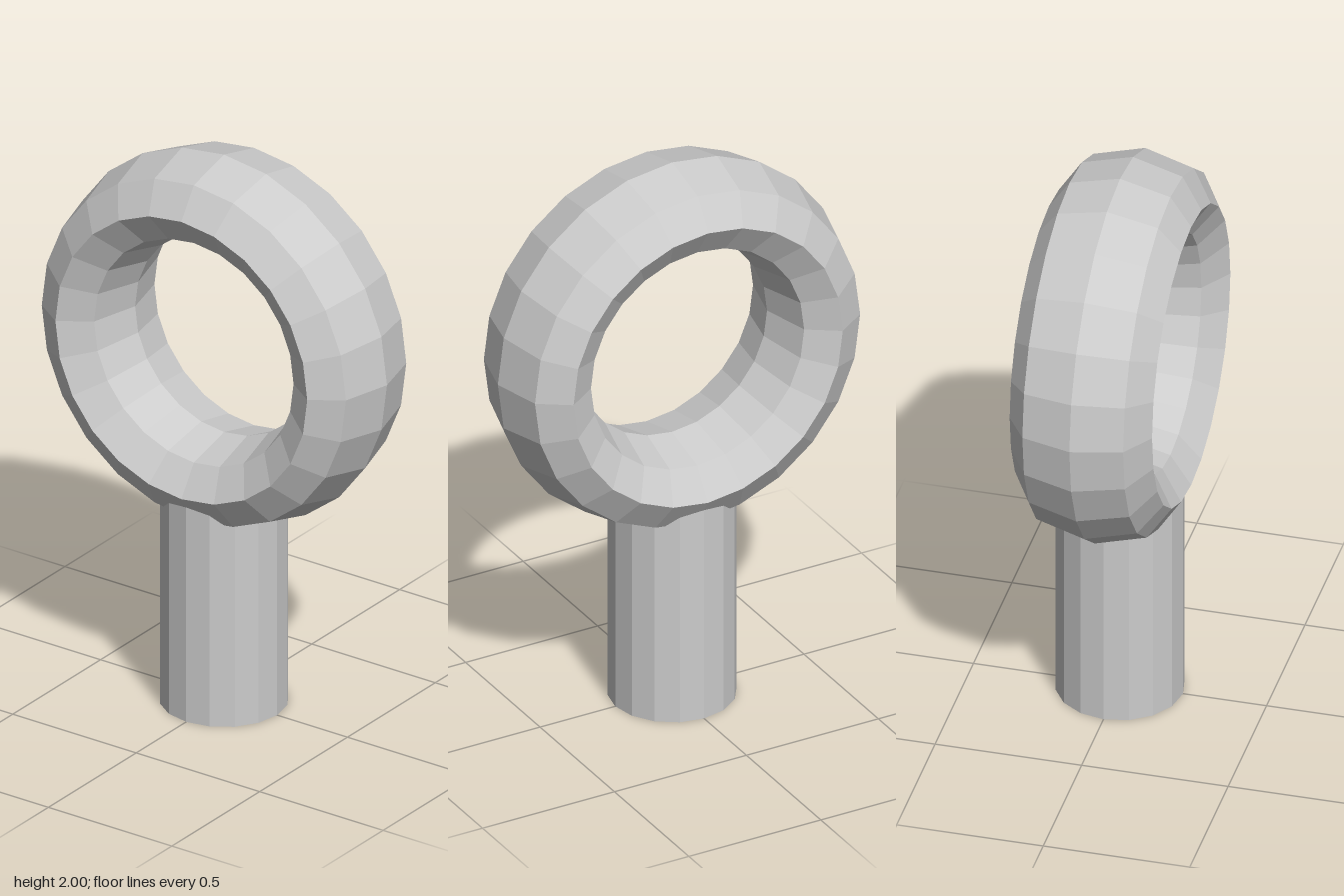
import * as THREE from 'three';

export function createModel() {
  const group = new THREE.Group();
  const material = new THREE.MeshStandardMaterial({ color: 0xcccccc, flatShading: true });

  const addPart = (name, geometry, y) => {
    const mesh = new THREE.Mesh(geometry, material);
    mesh.name = name;
    mesh.position.y = y;
    group.add(mesh);
  };

  // Eye ring: octagonal section stretched front to back
  const ring = new THREE.TorusGeometry(0.51, 0.15, 8, 24);
  ring.scale(1, 1, 1.62);
  addPart('ring', ring, 1.34);

  // Round shank, its top buried in the ring
  const shankHeight = 0.87;
  addPart('shank', new THREE.CylinderGeometry(0.215, 0.215, shankHeight, 16), shankHeight / 2);

  return group;
}
